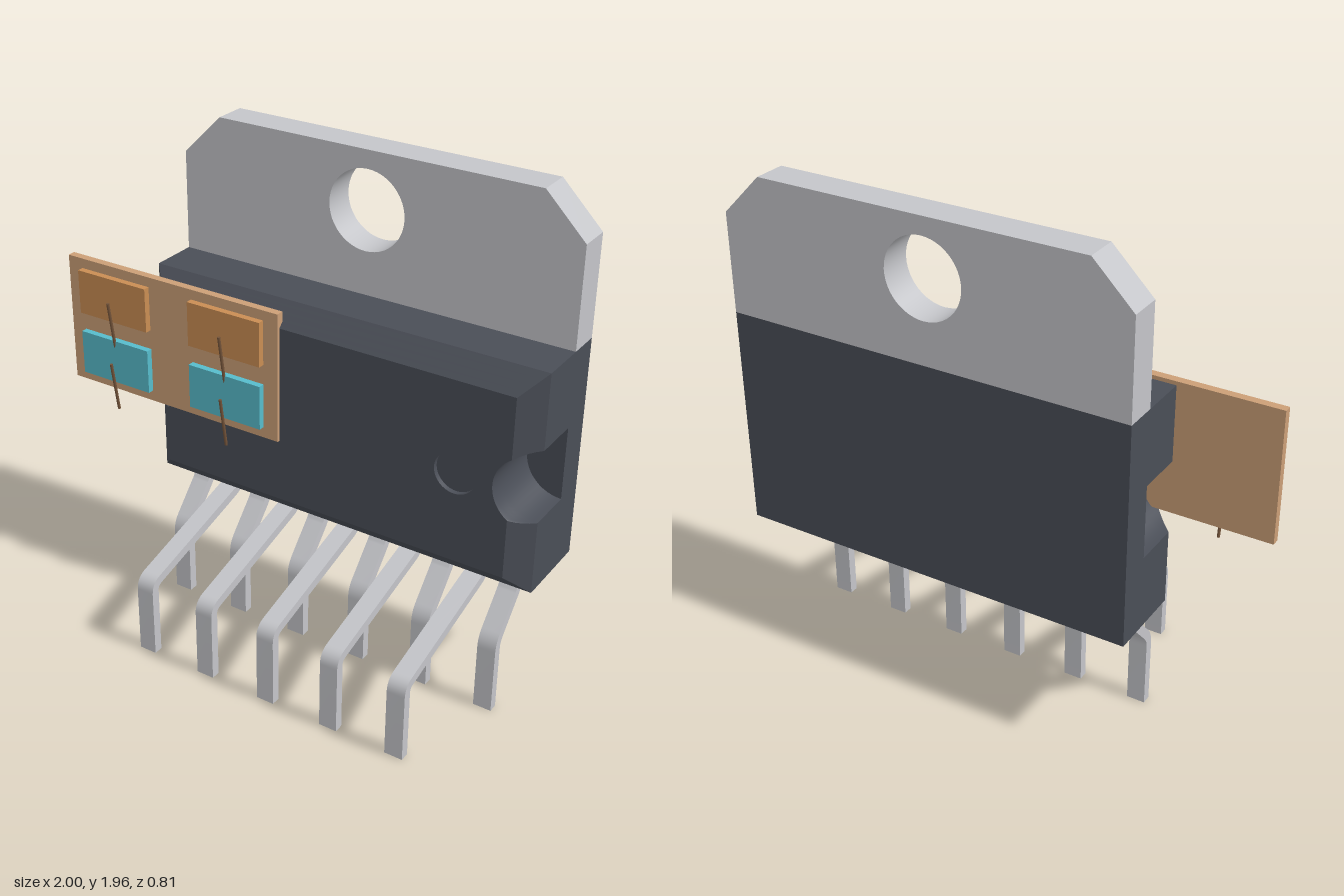
import * as THREE from 'three';
import { toCreasedNormals } from 'three/addons/utils/BufferGeometryUtils.js';

const material = (name, color, side = THREE.FrontSide) => {
  const m = new THREE.MeshStandardMaterial({ color, side });
  m.name = name;
  return m;
};

export function createModel() {
  const group = new THREE.Group();
  const metal = material('tinned metal', 0xc4c5c9);
  const epoxy = material('dark epoxy', 0x4a4e57, THREE.DoubleSide);
  const boardTan = material('board tan', 0xcb9f77);
  const orange = material('orange pad', 0xc98d53);
  const cyan = material('cyan pad', 0x57bccb);
  const wire = material('brown wire', 0x74543a);

  const add = (name, geometry, mat, parent = group) => {
    const mesh = new THREE.Mesh(geometry, mat);
    mesh.name = name;
    parent.add(mesh);
    return mesh;
  };
  const box = (name, x0, x1, y0, y1, z0, z1, mat, parent) => add(name,
    new THREE.BoxGeometry(x1 - x0, y1 - y0, z1 - z0)
      .translate((x0 + x1) / 2, (y0 + y1) / 2, (z0 + z1) / 2), mat, parent);

  // Package: full rear slab, then a notched and bevelled front
  const cx = 0.185, cy = 0.97, hw = 0.815, hh = 0.44, notchR = 0.145, bevel = 0.08;
  const zStep = -0.27, zBevel = -0.08;
  const body = new THREE.Group();
  body.name = 'packageBody';
  group.add(body);
  box('rearSlab', cx - hw, cx + hw, cy - hh, cy + hh, -0.4, zStep, epoxy, body);

  // Outline inset by d; the left half is the right half turned by 180 degrees
  const outline = (d) => {
    const half = [[cx + hw - d, cy - hh + d]];
    const a = Math.acos(-d / notchR);
    for (let i = 0; i <= 24; i++) {
      const t = 2 * Math.PI - a + (2 * a - 2 * Math.PI) * i / 24;
      half.push([cx + hw + notchR * Math.cos(t), cy + notchR * Math.sin(t)]);
    }
    half.push([cx + hw - d, cy + hh - d]);
    return [...half, ...half.map(([x, y]) => [2 * cx - x, 2 * cy - y])];
  };
  const rings = [[0, zStep], [0, zBevel]];
  for (let i = 1; i <= 4; i++) rings.push([bevel * i / 4, zBevel * (1 - i / 4)]);
  const pos = [], index = [];
  rings.forEach(([d, z], r) => {
    const pts = outline(d), n = pts.length;
    pts.forEach(([x, y], i) => {
      pos.push(x, y, z);
      if (r === 0) return;
      const j = (i + 1) % n, lo = (r - 1) * n, hi = r * n;
      index.push(lo + i, lo + j, hi + j, lo + i, hi + j, hi + i);
    });
  });
  const walls = new THREE.BufferGeometry();
  walls.setAttribute('position', new THREE.Float32BufferAttribute(pos, 3));
  walls.setIndex(index);
  add('frontWalls', toCreasedNormals(walls, 0.5), epoxy, body);

  // Front face with the round pin-one dimple
  const face = new THREE.Shape(outline(bevel).map(([x, y]) => new THREE.Vector2(x, y)));
  const dx = 0.71, dr = 0.083, dd = 0.02;
  face.holes.push(new THREE.Path().absarc(dx, cy, dr, 0, Math.PI * 2, true));
  add('frontFace', new THREE.ShapeGeometry(face, 20), epoxy, body);
  add('dimpleWall', new THREE.CylinderGeometry(dr, dr, dd, 40, 1, true)
    .rotateX(Math.PI / 2).translate(dx, cy, -dd / 2), epoxy, body);
  add('dimpleFloor', new THREE.CircleGeometry(dr, 40).translate(dx, cy, -dd), epoxy, body);

  // Heat-sink tab with chamfered corners and a mounting hole
  const tab = new THREE.Shape([[-0.63, 1.41], [1, 1.41], [1, 1.8], [0.84, 1.96], [-0.47, 1.96], [-0.63, 1.8]]
    .map(([x, y]) => new THREE.Vector2(x, y)));
  tab.holes.push(new THREE.Path().absarc(0.165, 1.735, 0.155, 0, Math.PI * 2, true));
  add('heatSinkTab', toCreasedNormals(new THREE.ExtrudeGeometry(tab,
    { depth: 0.13, bevelEnabled: false, curveSegments: 24 }).translate(0, 0, -0.4), 0.5), metal);

  // Bent lead: centreline in (z, y) with rounded bends, thickened and extruded
  const pinGeometry = (points) => {
    const p = points.map(([z, y]) => new THREE.Vector2(z, y));
    const line = [p[0]];
    for (let i = 1; i < p.length - 1; i++) {
      const toward = (q) => p[i].clone().add(q.clone().sub(p[i]).setLength(0.035));
      line.push(...new THREE.QuadraticBezierCurve(toward(p[i - 1]), p[i], toward(p[i + 1])).getPoints(6));
    }
    line.push(p[p.length - 1]);
    const sideOf = (s) => line.map((q, i) => {
      const t = line[Math.min(i + 1, line.length - 1)].clone().sub(line[Math.max(i - 1, 0)]).normalize();
      // End and bend samples use the straight direction so the strip stays even
      if (i === 0 || i === line.length - 1) t.set(0, -1);
      return new THREE.Vector2(q.x - t.y * s, q.y + t.x * s);
    });
    const shape = new THREE.Shape([...sideOf(0.0185), ...sideOf(-0.0185).reverse()]);
    const g = new THREE.ExtrudeGeometry(shape, { depth: 0.073, bevelEnabled: false });
    return toCreasedNormals(g.rotateY(-Math.PI / 2).translate(0.0365, 0, 0), 0.5);
  };
  const nearPin = pinGeometry([[-0.183, 0.56], [-0.183, 0.467], [-0.03, 0.3], [-0.03, 0]]);
  const farPin = pinGeometry([[-0.183, 0.56], [-0.183, 0.467], [0.387, 0.312], [0.387, 0]]);
  for (let i = 0; i < 11; i++) {
    add(i % 2 ? 'frontRowPin' : 'rearRowPin', i % 2 ? farPin : nearPin, metal)
      .position.x = -0.514 + i * 0.1389;
  }

  // Small board with two columns of pads, each pad carrying a tilted wire
  box('board', -1, -0.025, 0.865, 1.39, -0.02, 0.012, boardTan);
  for (const x of [-0.773, -0.25]) {
    for (const [name, y, mat] of [['upperPad', 1.26, orange], ['lowerPad', 1.0, cyan]]) {
      const top = name === 'upperPad' ? 1.35 : 1.09;
      box(name, x - 0.162, x + 0.162, top - 0.18, top, 0.01, 0.038, mat);
      const lead = add('padWire', new THREE.CylinderGeometry(0.006, 0.006, 0.213, 8), wire);
      lead.position.set(x, y - 0.105, 0.047);
      lead.rotation.x = Math.atan2(0.033, 0.21);
    }
  }
  return group;
}
